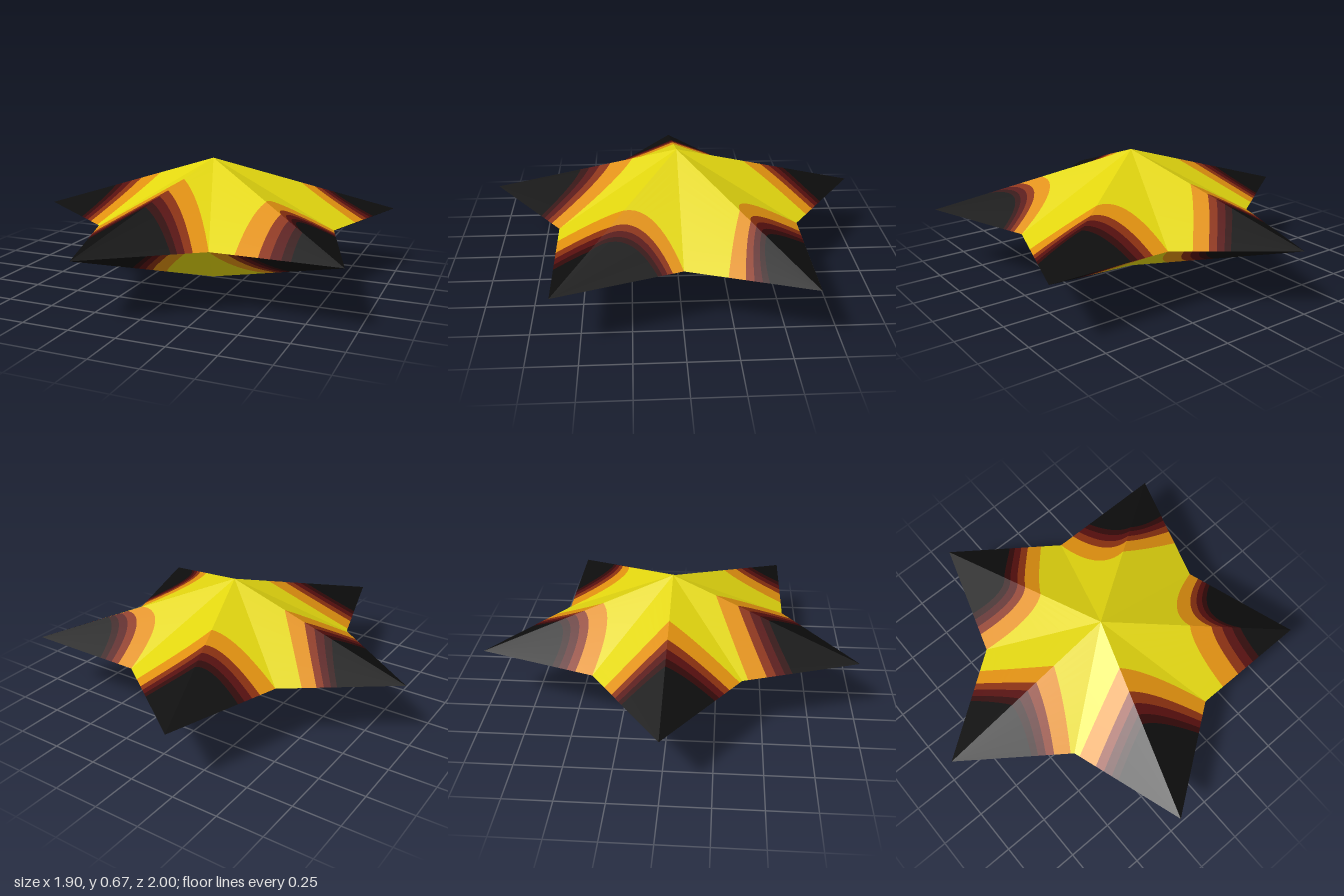
import * as THREE from 'three';

const MID = 0.337, CX = 0.1, R_TIP = 1.051, R_VALLEY = 0.65, STEPS = 12;

const flat = (name, color) => {
  const m = new THREE.MeshStandardMaterial({ color });
  m.name = name;
  return m;
};

// Bands from the middle of the star out to the points
const bands = [
  ['yellow', 0xe2d60f], ['orange', 0xe0900f], ['rustBrown', 0x8a3010],
  ['darkRed', 0x560f0e], ['maroon', 0x320909], ['black', 0x0d0d0d],
];
const SPREAD = [0, 0.42, 0.63, 0.83, 1];

// For each facet: where yellow ends and black begins, measured towards the point
// (0..1) along the ridge, the facet middle and the outer edge
const facets = [
  { angle: 36, side: -1, yellow: [0.45, 0.2, 0], black: [0.72, 0.43, 0.2] },
  { angle: 36, side: 1, yellow: [0.45, 0.32, 0.2], black: [0.72, 0.67, 0.62] },
  { angle: 108, side: -1, yellow: [0.235, 0.1, 0], black: [0.52, 0.4, 0.28] },
  { angle: 108, side: 1, yellow: [0.235, 0.15, 0.05], black: [0.52, 0.47, 0.42] },
  { angle: 180, side: -1, yellow: [0.31, 0.18, 0.03], black: [0.59, 0.48, 0.35] },
  { angle: 180, side: 1, yellow: [0.31, 0.26, 0.2], black: [0.59, 0.53, 0.47] },
  { angle: 252, side: -1, yellow: [0.37, 0.18, 0], black: [0.61, 0.47, 0.36] },
  { angle: 252, side: 1, yellow: [0.37, 0.3, 0.18], black: [0.61, 0.55, 0.46] },
  { angle: 324, side: -1, yellow: [0.47, 0.2, 0], black: [0.65, 0.5, 0.33] },
  { angle: 324, side: 1, yellow: [0.47, 0.4, 0.33], black: [0.65, 0.62, 0.63] },
];

// Smooth curve through three values at f = 0, 0.5 and 1
const curve = ([a, b, c], f) =>
  Math.max(0, a * (1 - f) * (1 - 2 * f) + 4 * b * f * (1 - f) + c * f * (2 * f - 1));

const rim = (degrees, r) => {
  const a = THREE.MathUtils.degToRad(degrees);
  return new THREE.Vector3(CX + r * Math.cos(a), 0, r * Math.sin(a));
};

// Adds one facet's coloured strips to the corner lists, one list per band
function addFacet({ angle, side, yellow, black }, lists) {
  const apex = new THREE.Vector3(0.075, MID, 0);
  const tip = rim(angle, R_TIP), valley = rim(angle + side * 36, R_VALLEY);
  const point = (t, f) => apex.clone().lerp(valley, f).lerp(tip, t);
  const level = (i, f) => {
    if (i === 0) return 0;
    if (i === bands.length) return 1;
    return THREE.MathUtils.lerp(curve(yellow, f), curve(black, f), SPREAD[i - 1]);
  };
  const triangle = (list, a, b, c) => {
    for (const p of side > 0 ? [a, c, b] : [a, b, c]) list.push(p.x, p.y, p.z);
  };
  lists.forEach((list, i) => {
    for (let k = 0; k < STEPS; k++) {
      const f0 = k / STEPS, f1 = (k + 1) / STEPS;
      const a = point(level(i, f0), f0), b = point(level(i + 1, f0), f0);
      const c = point(level(i + 1, f1), f1), d = point(level(i, f1), f1);
      triangle(list, a, b, d);
      if (i < bands.length - 1) triangle(list, b, c, d);
    }
  });
}

export function createModel() {
  const star = new THREE.Group();
  star.name = 'star';

  // Upper half of the star, one mesh per colour
  const upper = new THREE.Group();
  upper.name = 'upperHalf';
  const lists = bands.map(() => []);
  facets.forEach((facet) => addFacet(facet, lists));
  bands.forEach(([name, color], i) => {
    const geometry = new THREE.BufferGeometry();
    geometry.setAttribute('position', new THREE.Float32BufferAttribute(lists[i], 3));
    geometry.computeVertexNormals();
    const mesh = new THREE.Mesh(geometry, flat(name, color));
    mesh.name = name + 'Band';
    upper.add(mesh);
  });
  upper.position.y = MID;

  // Lower half is the same shell turned over about the x axis
  const lower = upper.clone();
  lower.name = 'lowerHalf';
  lower.rotation.x = Math.PI;

  star.add(upper, lower);
  return star;
}
